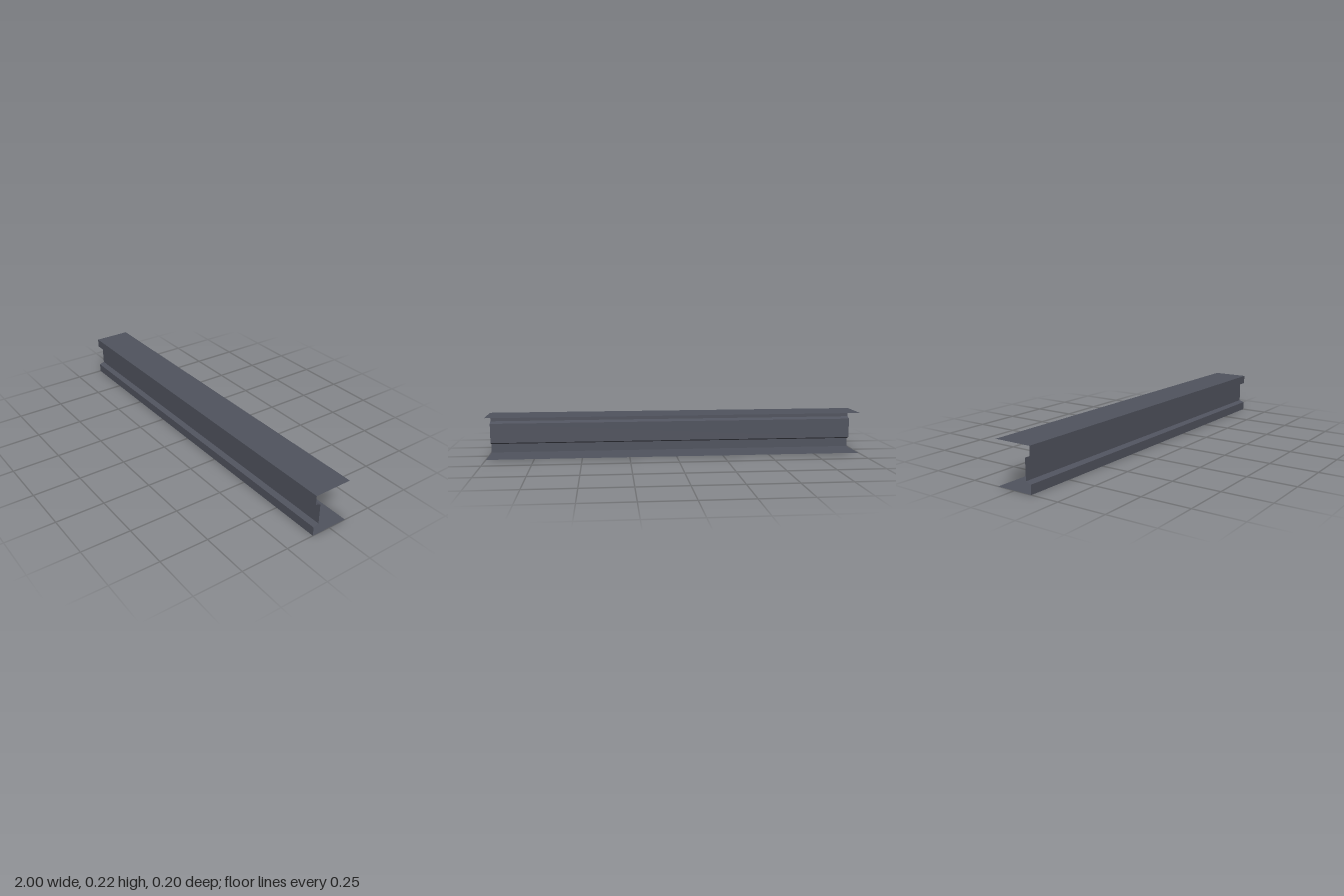
import * as THREE from 'three';

const LENGTH = 2;
const HEIGHT = 0.22;

export function createModel() {
  const model = new THREE.Group();
  model.name = 'sheetMetalRail';

  const steel = new THREE.MeshStandardMaterial({ color: 0x50535e, side: THREE.DoubleSide });
  steel.name = 'dark steel';

  // One bent strip: a flat face between two [z, y] points, run along x
  function addStrip(name, [z0, y0], [z1, y1]) {
    const width = Math.hypot(z1 - z0, y1 - y0);
    const strip = new THREE.Mesh(new THREE.PlaneGeometry(LENGTH, width), steel);
    strip.name = name;
    strip.position.set(0, (y0 + y1) / 2, (z0 + z1) / 2);
    strip.rotation.x = Math.atan2(z1 - z0, y1 - y0);
    model.add(strip);
  }

  // Lower half of the open channel, from the back edge to the web
  const half = [[-0.1, 0], [0.1, 0], [0.1, 0.047], [0.072, 0.057]];
  const names = ['Flange', 'Lip', 'Step'];
  const mirror = ([z, y]) => [z, HEIGHT - y];

  names.forEach((name, i) => {
    addStrip('lower' + name, half[i], half[i + 1]);
    addStrip('upper' + name, mirror(half[i + 1]), mirror(half[i]));
  });

  // Recessed web joining both halves
  addStrip('web', half[3], mirror(half[3]));

  return model;
}
